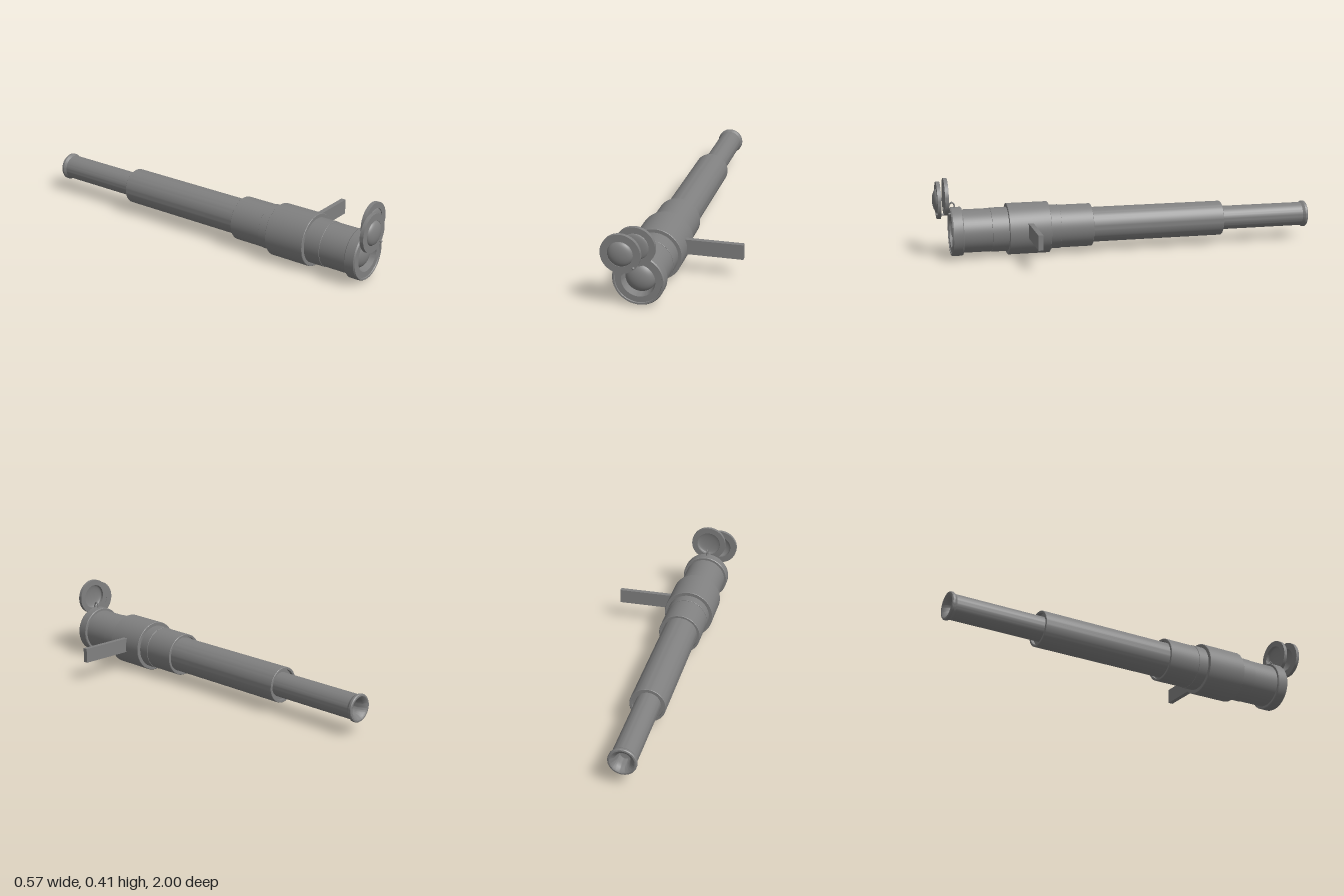
import * as THREE from 'three';
import { toCreasedNormals } from 'three/addons/utils/BufferGeometryUtils.js';

const material = new THREE.MeshStandardMaterial({ color: 0x808080, side: THREE.DoubleSide });
const AXIS = [-0.1255, 0.1355];

function part(name, geometry, x = 0, y = 0, z = 0) {
  const mesh = new THREE.Mesh(geometry, material);
  mesh.name = name;
  mesh.position.set(x, y, z);
  return mesh;
}

// Turned part along z from [radius, z] points; the outside runs towards +z
function turned(name, profile, x = AXIS[0], y = AXIS[1], z = 0) {
  const points = profile.map(([r, h]) => new THREE.Vector2(r, h));
  const geometry = new THREE.LatheGeometry(points, 64).rotateX(Math.PI / 2);
  return part(name, toCreasedNormals(geometry, 0.5), x, y, z);
}

// Hollow sleeve with small bevels at both ends
function sleeve(name, outer, inner, z0, z1, b = 0.002) {
  return turned(name, [
    [inner, z0], [outer - b, z0], [outer, z0 + b],
    [outer, z1 - b], [outer - b, z1], [inner, z1], [inner, z0],
  ]);
}

// Shallow dome facing +z
function dome(name, radius, height, x, y, z) {
  const geometry = new THREE.SphereGeometry(radius, 48, 16, 0, Math.PI * 2, 0, Math.PI / 2);
  geometry.rotateX(Math.PI / 2).scale(1, 1, height / radius);
  return part(name, geometry, x, y, z);
}

// Swinging lens cover: flat rim with a bulged, hollow-backed centre
function lensCover(name, x, y, z, rim, bulge, height) {
  const cover = new THREE.Group();
  cover.name = name;
  cover.add(turned('coverRim', [
    [bulge, 0], [rim, 0], [rim, 0.019], [bulge, 0.019], [bulge, 0],
  ], 0, 0, 0));
  cover.add(dome('coverBulge', bulge, height, 0, 0, 0.013));
  cover.position.set(x, y, z);
  return cover;
}

export function createModel() {
  const model = new THREE.Group();
  model.name = 'spyglass';

  // Telescoping tubes
  model.add(
    sleeve('mainTube', 0.111, 0.099, 0.19, 0.87),
    sleeve('collar', 0.1135, 0.105, 0.36, 0.715, 0.001),
    sleeve('gripBand', 0.1325, 0.105, 0.415, 0.63),
    sleeve('middleTube', 0.091, 0.079, -0.517, 0.25),
    turned('mainTubeSeat', [[0.085, 0.205], [0.1, 0.205]]),
    turned('middleTubeSeat', [[0.058, -0.5], [0.08, -0.5]]),
  );

  // Eyepiece with rounded lip and funnel
  model.add(turned('eyepiece', [
    [0, -0.92], [0.03, -0.925], [0.034, -0.96], [0.041, -0.983], [0.051, -0.995], [0.06, -1],
    [0.067, -0.999], [0.07, -0.995], [0.07, -0.985], [0.066, -0.978],
    [0.0625, -0.972], [0.0625, -0.45],
  ]));

  // Front ring, its tapered opening and the lens
  model.add(turned('frontRing', [
    [0.1, 0.86], [0.122, 0.86], [0.125, 0.864], [0.125, 0.912],
    [0.121, 0.919], [0.113, 0.919], [0.111, 0.915], [0.082, 0.915], [0.073, 0.868], [0, 0.868],
  ]));
  model.add(dome('frontLens', 0.073, 0.042, ...AXIS, 0.87));

  // Side handle
  model.add(part('handle', new THREE.BoxGeometry(0.293, 0.076, 0.025), 0.1365, 0.146, 0.522));

  // Two covers sharing a pivot pin
  model.add(
    lensCover('rearCover', -0.128, 0.317, 0.929, 0.0955, 0.0655, 0.014),
    lensCover('frontCover', -0.188, 0.289, 0.961, 0.0955, 0.061, 0.026),
  );
  const pin = new THREE.CylinderGeometry(0.005, 0.005, 0.075, 16).rotateX(Math.PI / 2);
  model.add(part('pivotPin', pin, -0.126, 0.227, 0.945));
  model.add(part('pivotHead', new THREE.SphereGeometry(0.007, 16, 12), -0.126, 0.227, 0.983));

  // Bent wire hook holding the covers to the ring
  const hook = new THREE.CatmullRomCurve3([
    [0.25, 0.892], [0.278, 0.897], [0.287, 0.908], [0.275, 0.92], [0.25, 0.928], [0.228, 0.945],
  ].map(([y, z]) => new THREE.Vector3(-0.126, y, z)));
  model.add(part('hingeHook', new THREE.TubeGeometry(hook, 32, 0.004, 8)));

  return model;
}
